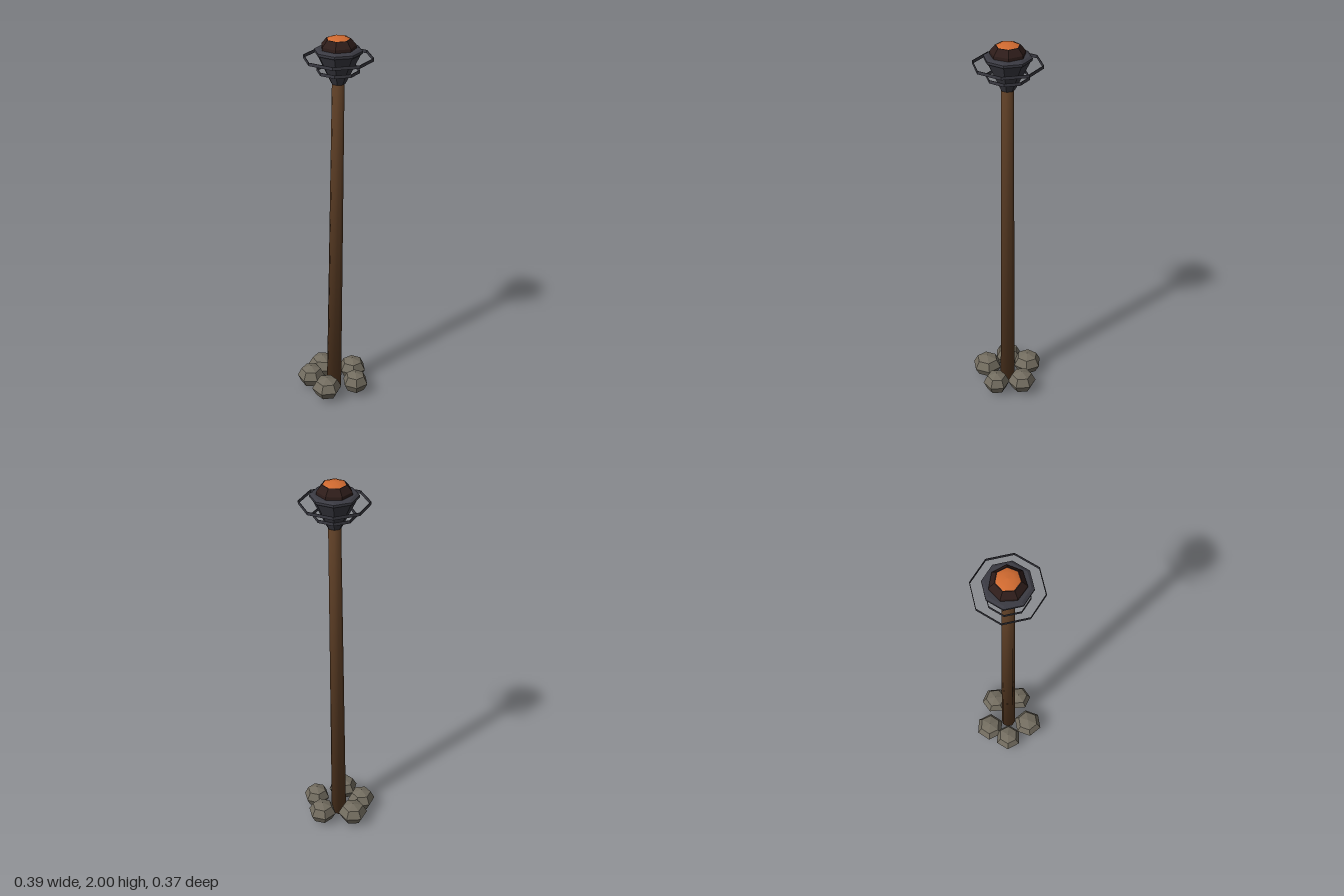
import * as THREE from 'three';

const mat = (name, color) => {
  const m = new THREE.MeshStandardMaterial({ color });
  m.name = name;
  return m;
};

// Faceted normals for low-poly parts
const flat = (geo) => {
  const g = geo.index ? geo.toNonIndexed() : geo;
  g.computeVertexNormals();
  return g;
};

const lathe = (points, sides) =>
  new THREE.LatheGeometry(points.map(([r, y]) => new THREE.Vector2(r, y)), sides);

export function createModel() {
  const wood = mat('dark wood', 0x5a3c24);
  const iron = mat('blackened iron', 0x3a3a42);
  const coal = mat('charred coal', 0x2e1d1a);
  const ember = mat('glowing ember', 0xd06a30);
  const stone = mat('grey stone', 0x736d60);

  const group = new THREE.Group();
  const add = (name, geo, material, x = 0, y = 0, z = 0) => {
    const mesh = new THREE.Mesh(geo, material);
    mesh.name = name;
    mesh.position.set(x, y, z);
    group.add(mesh);
    return mesh;
  };

  // Leaning, tapered pole with normals softened into its end caps
  const height = 1.79;
  const pole = new THREE.CylinderGeometry(0.031, 0.04, height, 8);
  const pos = pole.attributes.position;
  const normal = new THREE.Vector3();
  for (let i = 0; i < pos.count; i++) {
    const y = pos.getY(i);
    normal.set(pos.getX(i), 0, pos.getZ(i));
    if (normal.lengthSq() > 0) normal.normalize();
    normal.y = Math.sign(y) * 0.55;
    normal.normalize();
    pole.attributes.normal.setXYZ(i, normal.x, normal.y, normal.z);
    pos.setX(i, pos.getX(i) + 0.02 * (y / height + 0.5));
  }
  add('pole', pole, wood, 0.001, height / 2, -0.013);

  // Fire basket
  const cx = 0.021, cz = -0.015;
  add('basket', flat(lathe([
    [0, 1.765], [0.035, 1.765], [0.108, 1.912], [0.118, 1.92],
    [0.118, 1.932], [0.104, 1.94], [0, 1.94],
  ], 8)), iron, cx, 0, cz);

  // Thin iron hoops around the basket
  for (const [r, y] of [[0.172, 1.892], [0.106, 1.83]]) {
    const h = 0.008, t = 0.003;
    add('hoop', flat(lathe([
      [r - t, y - h], [r, y - h], [r, y + h], [r - t, y + h], [r - t, y - h],
    ], 8)), iron, cx, 0, cz);
  }

  // Coals with a glowing crown
  add('coals', flat(lathe([[0.088, 1.938], [0.087, 1.955], [0.061, 1.987], [0, 1.987]], 7)), coal, cx, 0, cz);
  add('embers', lathe([[0.058, 1.986], [0.05, 1.991], [0.03, 1.997], [0, 2]], 7), ember, cx, 0, cz);

  // Ring of stones at the foot: x, z, radius, turn in degrees
  const stones = [
    [-0.079, -0.109, 0.079, -126],
    [0.089, -0.107, 0.076, -45],
    [0.126, 0.027, 0.071, 15],
    [-0.019, 0.107, 0.08, 161],
    [-0.124, 0.007, 0.074, 172],
  ];
  for (const [x, z, r, turn] of stones) {
    const geo = flat(new THREE.SphereGeometry(r, 6, 4).scale(1, 0.061 / r, 1));
    add('footStone', geo, stone, x, 0.069, z).rotation.y = -THREE.MathUtils.degToRad(turn);
  }

  return group;
}
